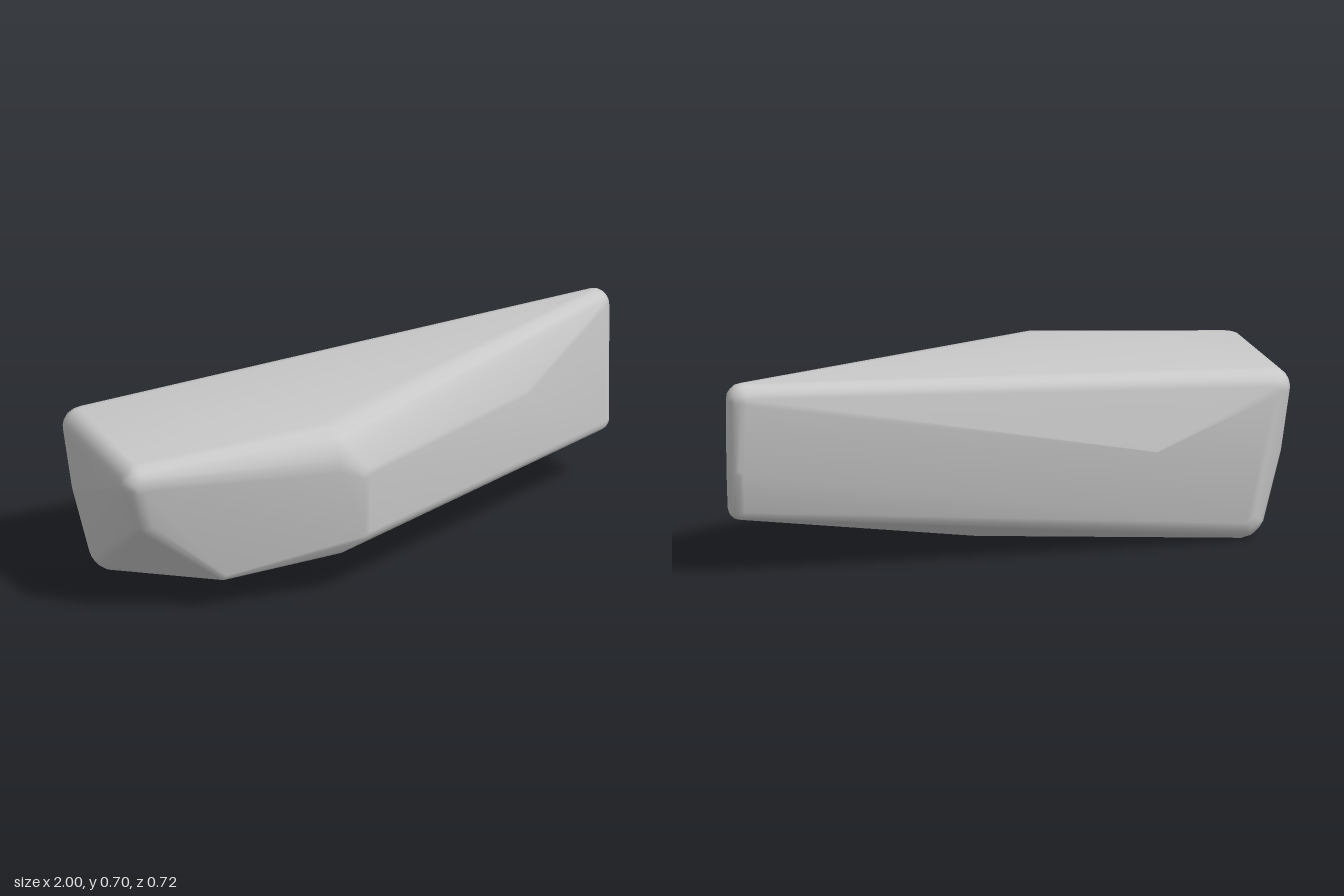
import * as THREE from 'three';
import { ConvexGeometry } from 'three/addons/geometries/ConvexGeometry.js';
import { mergeVertices } from 'three/addons/utils/BufferGeometryUtils.js';

// Rounded corners of the boulder: [x, y, z, radius]
const CORNERS = [
  // broad end, upper corners
  [-0.93, 0.53, 0.215, 0.068],
  [-0.93, 0.53, -0.265, 0.07],
  // broad end, lower corners
  [-0.89, 0.38, 0.195, 0.06],
  [-0.92, 0.32, -0.25, 0.055],
  [-0.83, 0.09, -0.23, 0.09],
  // front ridge, top to bottom
  [-0.25, 0.525, 0.24, 0.12],
  [-0.16, 0.47, 0.3, 0.06],
  [-0.15, 0.25, 0.29, 0.05],
  [-0.22, 0.205, 0.265, 0.045],
  [-0.62, 0.145, 0.215, 0.035],
  // shallow bulges of the front, top, back and underside
  [0.58, 0.49, -0.03, 0.03],
  [-0.68, 0.633, 0.03, 0.012],
  [-0.5, 0.36, -0.353, 0.01],
  [0.08, 0.082, -0.16, 0.02],
  // thin tip
  [0.945, 0.645, -0.28, 0.055],
  [0.95, 0.4, -0.27, 0.045],
  [0.93, 0.25, -0.22, 0.045],
];

// Wrap a convex skin around a small ball at every corner, then smooth it
function roundedHull(corners) {
  const points = [];
  for (const [x, y, z, r] of corners) {
    const ball = new THREE.IcosahedronGeometry(r, 2);
    ball.deleteAttribute('normal');
    ball.deleteAttribute('uv');
    const pos = mergeVertices(ball, 1e-5).attributes.position;
    for (let i = 0; i < pos.count; i++) {
      points.push(new THREE.Vector3(x, y, z).add(new THREE.Vector3().fromBufferAttribute(pos, i)));
    }
  }
  const hull = new ConvexGeometry(points);
  hull.deleteAttribute('normal');
  const smooth = mergeVertices(hull, 1e-5);
  smooth.computeVertexNormals();
  return smooth;
}

export function createModel() {
  const group = new THREE.Group();
  group.name = 'rock';
  const stone = new THREE.MeshStandardMaterial({ color: 0xc8c8c8 });
  stone.name = 'pale grey stone';
  const boulder = new THREE.Mesh(roundedHull(CORNERS), stone);
  boulder.name = 'boulder';
  group.add(boulder);
  return group;
}
